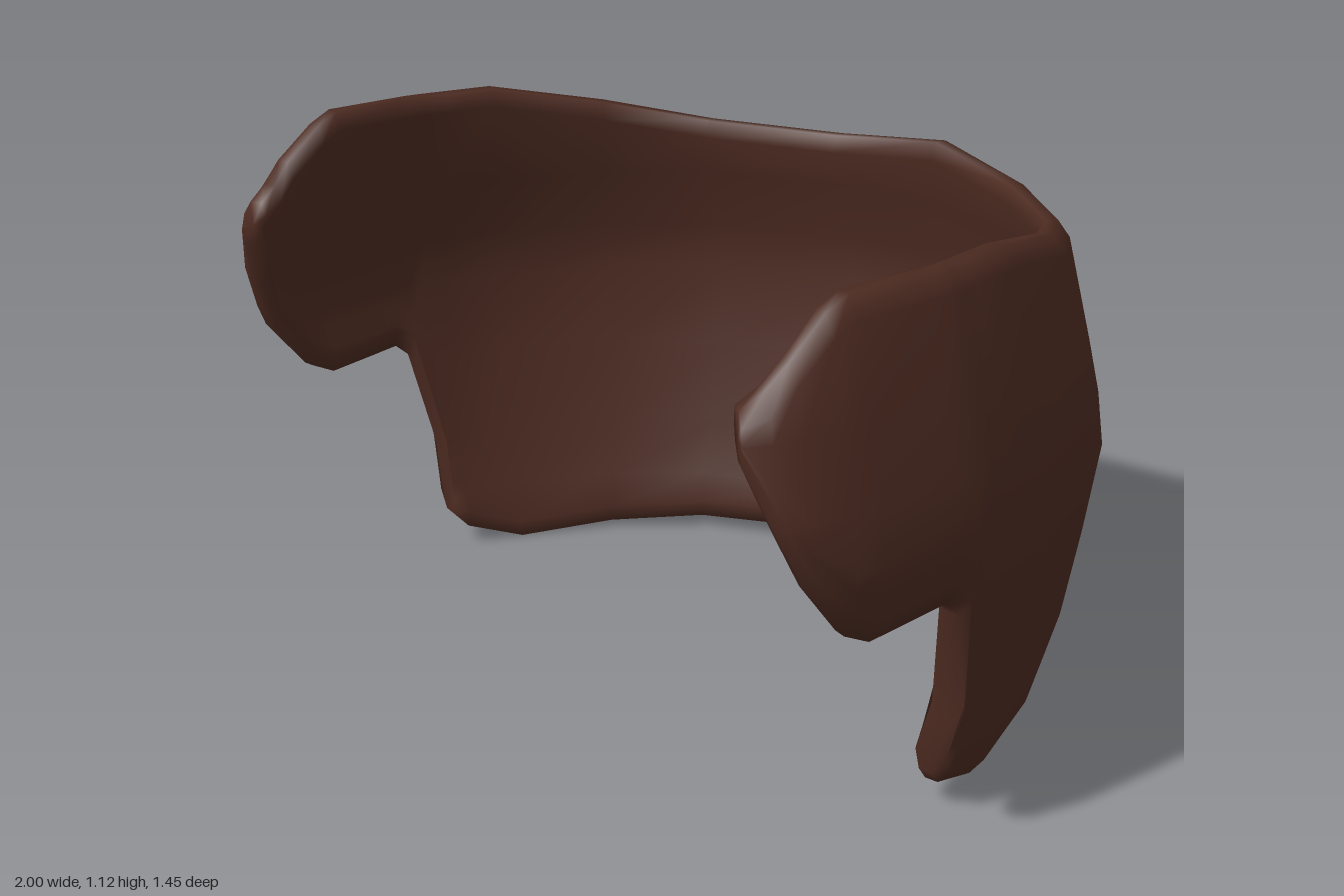
import * as THREE from 'three';

// Half of the horseshoe plan (x, z), from the centre of the back to the front tip
const PLAN = [[0, -0.725], [0.32, -0.65], [0.6, -0.46], [0.83, -0.24], [0.955, 0.04],
  [1, 0.26], [1, 0.48], [0.975, 0.65], [0.925, 0.75]].map(p => new THREE.Vector2(...p));

// Outward bulge of the wall by height (y, offset)
const BULGE = [[0, -0.175], [0.08, -0.15], [0.25, -0.085], [0.5, -0.028], [0.65, 0], [0.73, -0.006],
  [1.02, -0.1], [1.13, -0.13]];

// Upright slices: plan position at top and bottom, top height, bottom height
const SLICES = [
  [0, 0, 1.05, 0.045], [1, 1, 1.018, 0.04], [2, 2, 1.03, 0.032], [3, 3, 1.075, 0.02],
  [4, 3.9, 1.125, 0.004], [4.6, 4.6, 1.125, 0.05], [4.75, 4.8, 1.125, 0.09],
  [4.85, 4.74, 1.125, 0.2], [5.05, 5.0, 1.125, 0.47], [5.25, 5.22, 1.125, 0.51],
  [6.1, 6.1, 1.125, 0.488], [6.45, 6.45, 1.1, 0.515], [7, 7, 1.03, 0.63],
  [7.5, 7.5, 0.985, 0.74], [8, 8, 0.955, 0.86],
];
const THICK = 0.075;
const ROWS = [0, 0.14, 0.27, 0.46, 0.65, 0.76, 0.9, 1.2];

// Offset at a height; the sides bulge less than the back
function bulge(y, t) {
  let i = 0;
  while (i < BULGE.length - 2 && y > BULGE[i + 1][0]) i++;
  const [y0, d0] = BULGE[i], [y1, d1] = BULGE[i + 1];
  const d = THREE.MathUtils.lerp(d0, d1, (y - y0) / (y1 - y0));
  return d * THREE.MathUtils.lerp(1, 0.77, Math.min(t / 4, 1));
}

// Outward plan direction at a plan point, turned toward the rear along the back
function normalAt(i) {
  if (i === 0) return new THREE.Vector2(0, -1);
  const t = PLAN[Math.min(i + 1, 8)].clone().sub(PLAN[i - 1]).normalize();
  return new THREE.Vector2(t.y * (i < 3 ? 0.55 : 1), -t.x);
}

function planPoint(t, offset) {
  const i = Math.min(Math.floor(t), 7), f = t - i;
  const n = normalAt(i).lerp(normalAt(i + 1), f);
  return PLAN[i].clone().lerp(PLAN[i + 1], f).addScaledVector(n, offset);
}

// Closed ring of one slice: outer face upward, rounded rim, inner face downward
function sliceRing([tTop, tBot, top, bot], isTip) {
  const rim = Math.min(0.04, (top - bot) * 0.3);
  const lo = bot + rim, hi = top - rim, gap = (hi - lo) * 0.04, last = ROWS.length - 1;
  const d0 = isTip ? 0.15 : 0, d1 = isTip ? 0.9 : 1;
  // Rows keep the same heights on all slices and bunch up at the notch
  const heights = ROWS.map((y, j) => j === 0 ? lo : j === last ? hi
    : THREE.MathUtils.clamp(y, lo + gap * j, hi - gap * (last - j)));
  const section = [
    ...heights.map(y => [y, d0]),
    [top, 0.3], [top, 0.7],
    ...heights.map(y => [y, d1]).reverse(),
    [bot, 0.7], [bot, 0.3],
  ];
  return section.map(([y, depth]) => {
    const v = (y - bot) / (top - bot);
    const t = tTop + (tBot - tTop) * (1 - v) ** 4;
    const p = planPoint(t, bulge(y, t) - depth * THICK);
    return [p.x, y, p.y];
  });
}

function bandGeometry() {
  const half = SLICES.map((s, i) => sliceRing(s, i === SLICES.length - 1));
  const mirrored = half.slice(1).reverse().map(r => r.map(([x, y, z]) => [-x, y, z]));
  const rings = [...mirrored, ...half];
  const m = rings[0].length, pos = rings.flat(2), idx = [];

  // Walls between neighbouring slices
  for (let c = 0; c < rings.length - 1; c++) {
    for (let j = 0; j < m; j++) {
      const k = (j + 1) % m;
      const a = c * m + j, a2 = c * m + k;
      idx.push(a, a2, a + m, a2, a2 + m, a + m);
    }
  }
  // Closed tips at both ends
  [0, rings.length - 1].forEach((c, end) => {
    const centre = pos.length / 3;
    for (let a = 0; a < 3; a++) pos.push(rings[c].reduce((s, p) => s + p[a], 0) / m);
    for (let j = 0; j < m; j++) {
      const b = c * m + j, b2 = c * m + (j + 1) % m;
      if (end) idx.push(centre, b, b2);
      else idx.push(centre, b2, b);
    }
  });

  const g = new THREE.BufferGeometry();
  g.setAttribute('position', new THREE.Float32BufferAttribute(pos, 3));
  g.setIndex(idx);
  g.computeVertexNormals();
  return g;
}

export function createModel() {
  const group = new THREE.Group();
  group.name = 'curvedBand';
  const brown = new THREE.MeshStandardMaterial({ color: 0x4e2c22 });
  brown.name = 'darkBrown';
  const band = new THREE.Mesh(bandGeometry(), brown);
  band.name = 'wrapAroundBand';
  group.add(band);
  return group;
}
